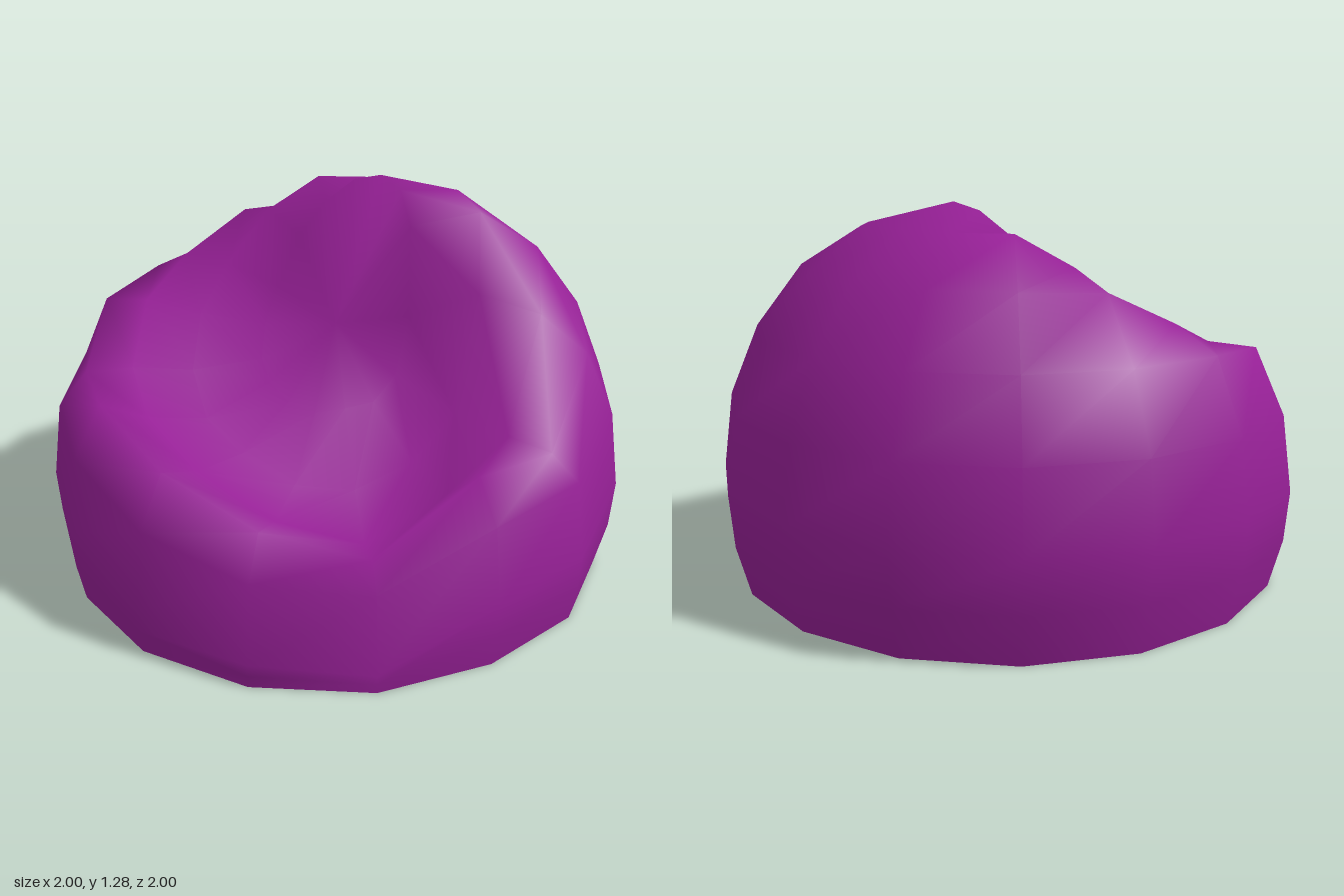
import * as THREE from 'three';

const SIDES = 16;
const rad = THREE.MathUtils.degToRad;

// Columns in order around from the front (+z) towards +x:
// [height of the widest point, then heights at latitudes 30, 45, 60, 75]
const COLUMNS = [
  [0.06, 0.38, 0.34, 0.42, 0.6],
  [0.22, 0.6, 0.47, 0.49, 0.61],
  [0.24, 0.57, 0.58, 0.61, 0.68],
  [0.32, 0.79, 0.91, 0.96, 0.86],
  [0.35, 0.85, 1.06, 1.19, 1.15],
  [0.35, 0.85, 1.06, 1.22, 1.25],
  [0.35, 0.85, 1.06, 1.21, 1.285],
  [0.35, 0.85, 1.06, 1.21, 1.26],
  [0.35, 0.85, 1.06, 1.21, 1.18],
  [0.35, 0.85, 1.05, 1.1, 1.06],
  [0.35, 0.85, 0.93, 0.93, 0.89],
  [0.34, 0.82, 0.83, 0.8, 0.78],
  [0.29, 0.67, 0.68, 0.66, 0.69],
  [0.26, 0.69, 0.61, 0.56, 0.64],
  [0.16, 0.58, 0.52, 0.5, 0.6],
  [0.08, 0.46, 0.41, 0.43, 0.58],
];
const POLE_HEIGHT = 0.81;

// Radius and height pairs from the floor up to the ring below the pole
function profile([middle, ...upper]) {
  const floor = -Math.asin(middle);
  const lower = [floor, Math.max(rad(-15), floor / 2), 0, rad(15)]
    .map((lat) => [Math.cos(lat), middle + Math.sin(lat)]);
  return [...lower, ...upper.map((y, i) => [Math.cos(rad(30 + 15 * i)), y])];
}

function bagGeometry() {
  const positions = [];
  const wall = [];
  const underside = [];
  const rows = 8;
  COLUMNS.forEach((column, j) => {
    const a = (j / SIDES) * Math.PI * 2;
    for (const [r, y] of profile(column)) positions.push(r * Math.sin(a), y, r * Math.cos(a));
  });
  const pole = SIDES * rows;
  const base = pole + 1;
  positions.push(0, POLE_HEIGHT, 0, 0, 0, 0);

  for (let j = 0; j < SIDES; j++) {
    const p = j * rows;
    const q = ((j + 1) % SIDES) * rows;
    for (let i = 0; i < rows - 1; i++) {
      wall.push(p + i, q + i, q + i + 1, p + i, q + i + 1, p + i + 1);
    }
    wall.push(p + rows - 1, q + rows - 1, pole);
    underside.push(base, q, p);
  }
  const geometry = new THREE.BufferGeometry();
  geometry.setAttribute('position', new THREE.Float32BufferAttribute(positions, 3));
  // Smooth the wall alone, so the flat underside does not darken its lower edge
  geometry.setIndex(wall);
  geometry.computeVertexNormals();
  geometry.attributes.normal.setXYZ(base, 0, -1, 0);
  geometry.setIndex([...wall, ...underside]);
  return geometry;
}

export function createModel() {
  const group = new THREE.Group();
  group.name = 'beanBagChair';
  const material = new THREE.MeshStandardMaterial({ color: 0x962096 });
  const bag = new THREE.Mesh(bagGeometry(), material);
  bag.name = 'bag';
  group.add(bag);
  return group;
}
